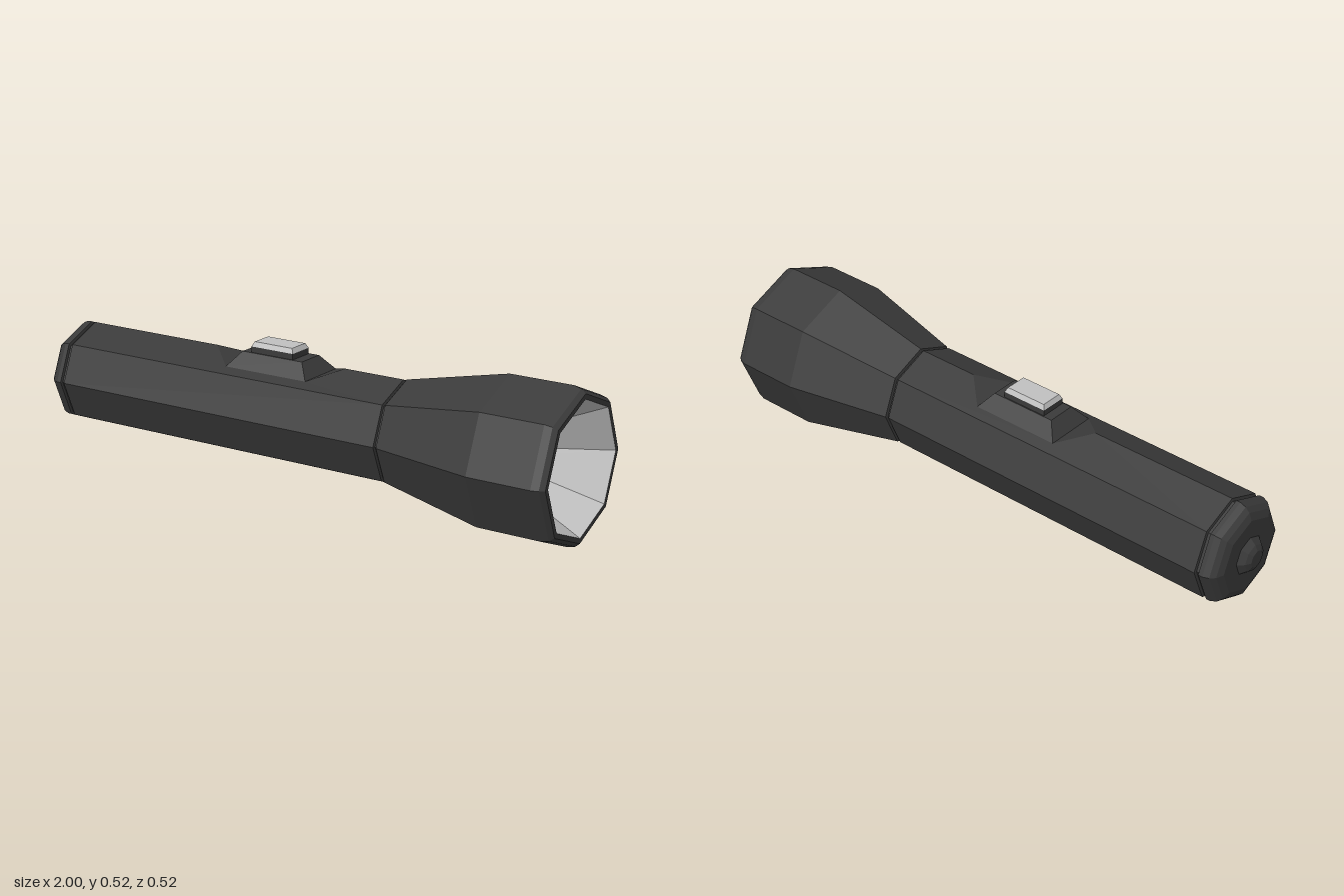
import * as THREE from 'three';

const CY = 0.26;    // height of the long axis
const R = 0.178;    // barrel radius
const SLOPE = Math.tan(Math.PI / 8);

const mat = (name, color) => {
  const m = new THREE.MeshStandardMaterial({ color });
  m.name = name;
  return m;
};

// Faceted normals
function facet(geo) {
  const g = geo.index ? geo.toNonIndexed() : geo;
  g.computeVertexNormals();
  return g;
}

// Eight-sided lathe around the x axis; profile points are [x, radius]
function turned(profile, start = 0, length = Math.PI * 2) {
  const pts = profile.map(([x, r]) => new THREE.Vector2(r, x));
  const segments = Math.round(length / (Math.PI / 4));
  const g = new THREE.LatheGeometry(pts, segments, start, length);
  g.rotateZ(-Math.PI / 2).translate(0, CY, 0);
  return facet(g);
}

// Box whose top is narrowed to a smaller rectangle
function taperedBox(x0, x1, y0, y1, halfZ, inset) {
  const g = new THREE.BoxGeometry(x1 - x0, y1 - y0, halfZ * 2);
  const p = g.attributes.position;
  for (let i = 0; i < p.count; i++) {
    if (p.getY(i) > 0) {
      p.setX(i, p.getX(i) - Math.sign(p.getX(i)) * inset);
      p.setZ(i, p.getZ(i) - Math.sign(p.getZ(i)) * inset);
    }
  }
  g.translate((x0 + x1) / 2, (y0 + y1) / 2, 0);
  return facet(g);
}

export function createModel() {
  const root = new THREE.Group();
  root.name = 'flashlight';
  const dark = mat('dark plastic', 0x3a3a3a);
  const light = mat('silver', 0xc0c0c0);
  const add = (name, geo, material, parent = root) => {
    const m = new THREE.Mesh(geo, material);
    m.name = name;
    parent.add(m);
    return m;
  };

  // Tail cap with end button and groove
  add('tailCap', turned([
    [-1, 0], [-1, 0.03], [-0.99, 0.048], [-0.97, 0.066], [-0.97, 0.13],
    [-0.96, 0.155], [-0.945, 0.17], [-0.925, 0.178], [-0.91, R],
    [-0.908, 0.168], [-0.897, 0.168], [-0.895, R],
  ]), dark);

  // Barrel: six plain sides, then two upper sides with the ridge cut away
  const barrel = new THREE.Group();
  barrel.name = 'barrel';
  root.add(barrel);
  const x0 = -0.895, x1 = 0.36;
  const cut = { a: -0.37, b: -0.27, c: 0.045, d: 0.14, z: 0.09 };
  const ridgeY = z => CY + R - Math.abs(z) * SLOPE;
  add('barrelSides', turned([[x0, R], [x1, R]], Math.PI * 7 / 4, Math.PI * 3 / 2), dark, barrel);

  const edge = R * Math.SQRT1_2;
  for (const side of [1, -1]) {
    const outline = [
      [x0, 0], [cut.a, 0], [cut.b, cut.z], [cut.c, cut.z],
      [cut.d, 0], [x1, 0], [x1, edge], [x0, edge],
    ].map(([x, z]) => new THREE.Vector2(x, -side * z));
    const g = new THREE.ShapeGeometry(new THREE.Shape(outline));
    const p = g.attributes.position;
    for (let i = 0; i < p.count; i++) {
      const z = -p.getY(i);
      p.setXYZ(i, p.getX(i), ridgeY(z), z);
    }
    add(side > 0 ? 'upperFrontSide' : 'upperBackSide', facet(g), dark, barrel);
  }

  // Sloping triangles at both ends of the ridge cut
  const low = ridgeY(cut.z), high = ridgeY(0);
  const slopes = new THREE.BufferGeometry();
  slopes.setAttribute('position', new THREE.Float32BufferAttribute([
    cut.a, high, 0, cut.b, low, cut.z, cut.b, low, -cut.z,
    cut.d, high, 0, cut.c, low, -cut.z, cut.c, low, cut.z,
  ], 3));
  add('switchRecess', facet(slopes), dark, barrel);

  // Sliding switch
  const slider = new THREE.Group();
  slider.name = 'switch';
  root.add(slider);
  add('switchBase', taperedBox(cut.b, cut.c, low, 0.45, cut.z, 0.04), dark, slider);
  add('switchButton', taperedBox(-0.197, -0.033, 0.45, 0.47, 0.046, 0), dark, slider);
  add('switchTop', taperedBox(-0.197, -0.033, 0.47, 0.486, 0.046, 0.008), light, slider);

  // Flared head with groove and front lip
  add('head', turned([
    [0.36, R], [0.362, 0.168], [0.37, 0.168], [0.372, 0.18],
    [0.74, 0.26], [0.96, 0.26], [0.985, 0.253], [1, 0.24], [1, 0.223],
  ]), dark);

  // Reflector cone, dark socket and bulb
  add('reflector', turned([[1, 0.223], [0.67, 0.047]]), light);
  add('socket', turned([[0.67, 0.047], [0.65, 0.047], [0.65, 0]]), dark);
  add('bulb', turned([
    [0.65, 0.042], [0.7, 0.042], [0.72, 0.034], [0.735, 0.016], [0.738, 0],
  ]), light);

  return root;
}
